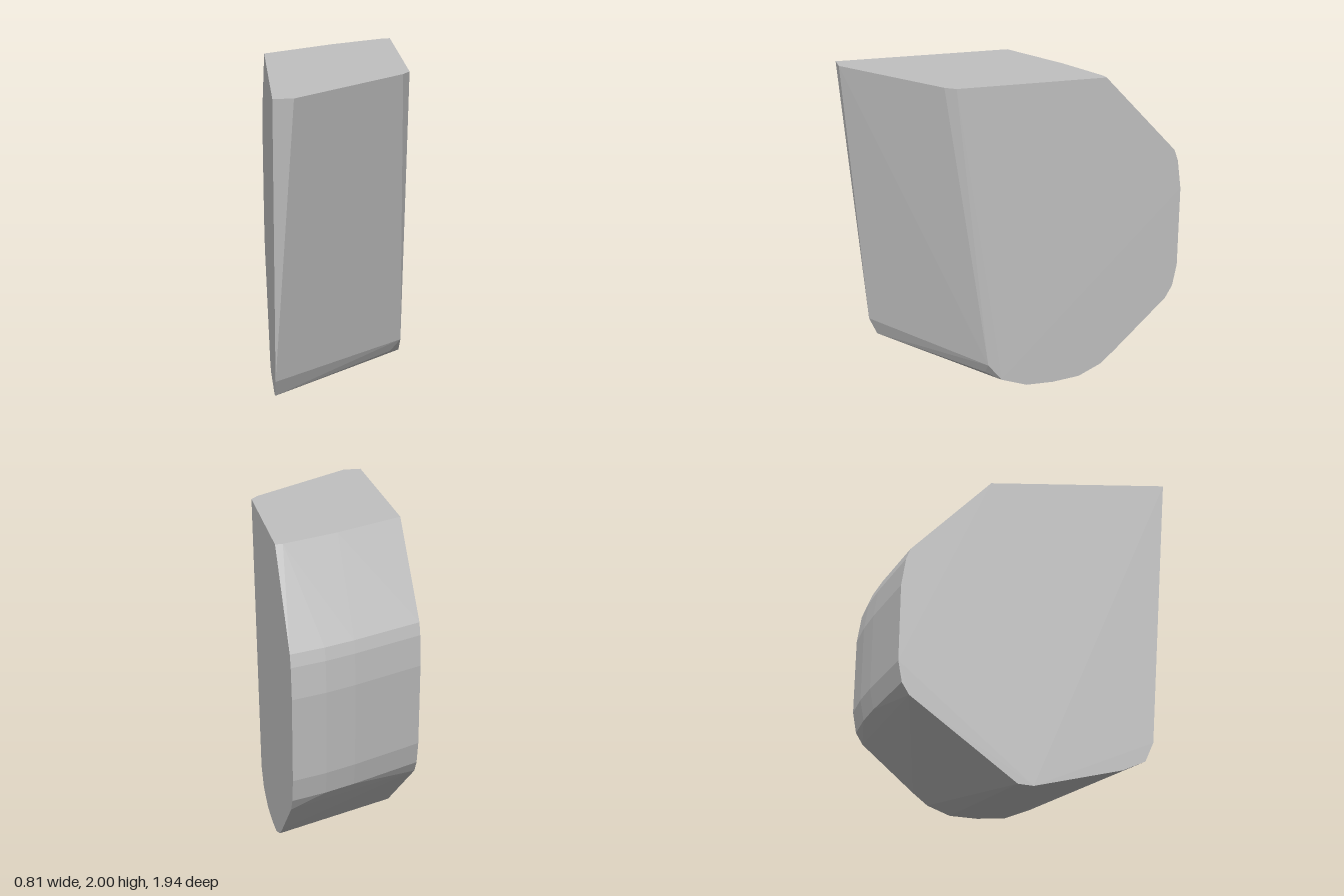
import * as THREE from 'three';
import { ConvexGeometry } from 'three/addons/geometries/ConvexGeometry.js';

export function createModel() {
  const model = new THREE.Group();
  const stone = new THREE.MeshStandardMaterial({ color: 0xc0c0c0 });
  stone.name = 'grey stone';
  const half = 0.405;

  // Side outlines as [z, y], from the top front round the bottom to the back
  const leftFace = [
    [0.42, 2], [0.245, 0.24], [0.16, 0.13], [0, 0.072], [-0.17, 0.068],
    [-0.34, 0.085], [-0.48, 0.15], [-0.57, 0.23], [-0.9, 0.55],
  ];
  const rightFace = [
    [0.97, 2], [0.83, 0.27], [0.78, 0.155], [0.65, 0.1], [0.14, 0],
    [0.05, 0.012], [-0.58, 0.55],
  ];
  // Rounded back, [inset from the rearmost plane, y], shared by every section
  const back = [[0.025, 0.63], [0, 0.77], [0, 1.27], [0.025, 1.45], [0.05, 1.52]];
  // Bowed back: [x, rearmost z, top edge z]
  const sections = [
    [-half, -0.65, -0.11], [0.02, -0.84, -0.33], [0.2, -0.91, -0.405],
    [0.36, -0.955, -0.47], [half, -0.97, -0.475],
  ];

  const points = [];
  const add = (x, y, z) => points.push(new THREE.Vector3(x, y, z));
  leftFace.forEach(([z, y]) => add(half, y, z));
  rightFace.forEach(([z, y]) => add(-half, y, z));
  sections.forEach(([x, rear, top]) => {
    back.forEach(([inset, y]) => add(x, y, rear + inset));
    add(x, 2, top);
  });

  // Bevels on the slanted front
  add(-0.29, 2, 0.97);
  add(0.36, 2, 0.48);
  add(0.34, 0.165, 0.25);

  const block = new THREE.Mesh(new ConvexGeometry(points), stone);
  block.name = 'block';
  model.add(block);
  return model;
}
